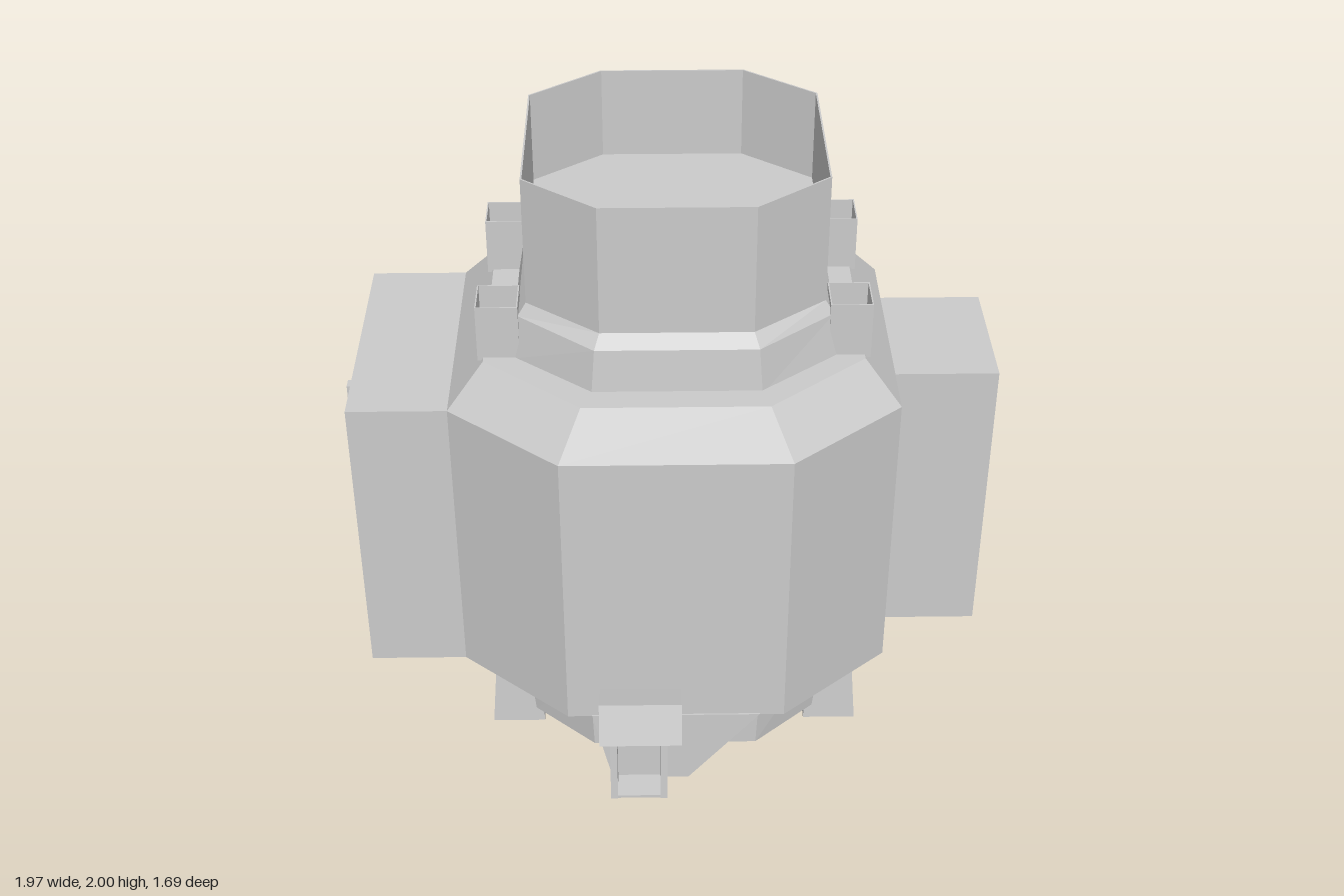
import * as THREE from 'three';

const mat = new THREE.MeshStandardMaterial({ color: 0xcccccc, flatShading: true, side: THREE.DoubleSide });

// Octagon ring: half extents a (x), b (z); corner offsets ca (x), cb (z)
function oct(y, a, b, ca, cb, cx = 0, cz = 0) {
  return [[a, -cb], [a, cb], [ca, b], [-ca, b], [-a, cb], [-a, -cb], [-ca, -b], [ca, -b]]
    .map(([x, z]) => [cx + x, y, cz + z]);
}

// Rectangle ring
function rect(y, a, b, cx = 0, cz = 0) {
  return [[a, -b], [a, b], [-a, b], [-a, -b]].map(([x, z]) => [cx + x, y, cz + z]);
}

// Skin successive rings, capping the first and last
function loft(rings) {
  const v = [];
  const n = rings[0].length;
  for (let r = 0; r + 1 < rings.length; r++) {
    const p = rings[r], q = rings[r + 1];
    for (let i = 0; i < n; i++) {
      const j = (i + 1) % n;
      v.push(...p[i], ...q[i], ...p[j], ...p[j], ...q[i], ...q[j]);
    }
  }
  const f = rings[0], l = rings[rings.length - 1];
  for (let i = 1; i + 1 < n; i++) {
    v.push(...f[0], ...f[i], ...f[i + 1]);
    v.push(...l[0], ...l[i + 1], ...l[i]);
  }
  const g = new THREE.BufferGeometry();
  g.setAttribute('position', new THREE.Float32BufferAttribute(v, 3));
  g.computeVertexNormals();
  return g;
}

// Box from its minimum and maximum corners
function block(x0, x1, y0, y1, z0, z1) {
  const g = new THREE.BoxGeometry(x1 - x0, y1 - y0, z1 - z0);
  return g.translate((x0 + x1) / 2, (y0 + y1) / 2, (z0 + z1) / 2);
}

// Side profile given as [z, y], extruded across x0..x1
function sideProfile(pts, x0, x1) {
  const shape = new THREE.Shape(pts.map(([z, y]) => new THREE.Vector2(-z, y)));
  const g = new THREE.ExtrudeGeometry(shape, { depth: x1 - x0, bevelEnabled: false });
  return g.rotateY(Math.PI / 2).translate(x0, 0, 0);
}

export function createModel() {
  const model = new THREE.Group();
  model.name = 'furnace';
  const add = (name, geometry) => {
    const m = new THREE.Mesh(geometry, mat);
    m.name = name;
    model.add(m);
    return m;
  };

  // Octagonal main body with a sloped shoulder
  add('body', loft([
    oct(0.33, 0.67, 0.68, 0.335, 0.40),
    oct(1.29, 0.67, 0.68, 0.335, 0.40),
    oct(1.43, 0.56, 0.575, 0.27, 0.33, 0, 0.02),
  ]));

  // Collar and open neck with a sunken floor
  const cx = 0.005, cz = 0.03;
  add('neck', loft([
    oct(1.42, 0.485, 0.485, 0.245, 0.29, cx, cz),
    oct(1.56, 0.46, 0.47, 0.235, 0.28, cx, cz),
    oct(1.60, 0.435, 0.44, 0.22, 0.27, cx, cz),
    oct(2.00, 0.435, 0.44, 0.22, 0.27, cx, cz),
    oct(2.00, 0.43, 0.435, 0.218, 0.268, cx, cz),
    oct(1.715, 0.43, 0.435, 0.218, 0.268, cx, cz),
  ]));
  add('neckFloorPlate', loft([
    oct(1.70, 0.225, 0.225, 0.115, 0.115, cx, cz),
    oct(1.722, 0.225, 0.225, 0.115, 0.115, cx, cz),
  ]));

  // Tapered base under the body
  add('base', loft([
    oct(0.07, 0.455, 0.53, 0.26, 0.36),
    oct(0.34, 0.48, 0.54, 0.27, 0.37),
  ]));

  // Side housings
  add('wideHousing', block(-0.97, -0.6, 0.33, 1.29, -0.40, 0.40));
  add('narrowHousing', block(0.6, 0.985, 0.33, 1.29, -0.22, 0.225));

  // Fittings on the wide housing and the body
  add('housingStrip', block(-0.983, -0.96, 0.34, 1.28, 0.215, 0.25));
  add('housingLatch', block(-0.983, -0.96, 0.68, 0.9, -0.215, -0.2));
  add('housingHandle', block(-0.985, -0.96, 0.76, 0.79, -0.28, -0.2));
  add('bodyKnob', block(0.64, 0.705, 0.435, 0.49, -0.245, -0.215));

  // Hollow flared legs and open vents, in pairs on both sides and the back
  const leg = (x, z, y0, tx, tz) => add('leg', loft([
    rect(y0 + 0.06, 0.045, 0.045, x, z),
    rect(y0, 0.05, 0.05, x, z),
    rect(y0, 0.085, 0.085, x, z),
    rect(0.345, 0.063, 0.063, tx, tz),
  ]));
  const vent = (x, z, y0) => add('vent', loft([
    rect(y0, 0.062, 0.064, x, z),
    rect(y0 + 0.18, 0.062, 0.064, x, z),
    rect(y0 + 0.18, 0.058, 0.06, x, z),
    rect(y0 + 0.02, 0.058, 0.06, x, z),
  ]));
  for (const s of [-1, 1]) {
    for (const t of [-1, 1]) {
      leg(s * 0.515, t * 0.26, 0, s * 0.51, t * 0.26);
      vent(s * 0.515, t * 0.255 + 0.01, 1.42);
    }
    leg(s * 0.255, -0.515, 0.02, s * 0.255, -0.5);
    vent(s * 0.255, -0.515, 1.44);
  }

  // Rear channel: cap, foot, two side plates and small brackets
  add('channelCap', block(-0.105, 0.1, 1.14, 1.265, -0.835, -0.66));
  add('channelFoot', block(-0.105, 0.1, 0.38, 0.43, -0.845, -0.66));
  for (const x of [-0.092, 0.087]) {
    add('channelPlate', block(x - 0.01, x + 0.01, 0.42, 1.15, -0.83, -0.66));
  }
  add('channelBracket', block(-0.05, 0.05, 0.91, 0.94, -0.715, -0.67));
  add('channelBracket', block(-0.02, 0.03, 0.72, 0.78, -0.71, -0.67));

  // Front apron with a slanted edge
  const apron = new THREE.Shape([[-0.26, 0.335], [-0.2, 0.07], [0.04, 0.07], [0.26, 0.335]]
    .map(([x, y]) => new THREE.Vector2(x, y)));
  add('apron', new THREE.ExtrudeGeometry(apron, { depth: 0.18, bevelEnabled: false }).translate(0, 0, 0.505));

  // Tilted spout hood standing on two side supports
  add('spoutHood', sideProfile([[0.62, 0.42], [0.8, 0.485], [0.845, 0.36], [0.69, 0.305], [0.62, 0.335]], -0.235, 0.015));
  for (const x of [-0.205, -0.05]) {
    add('spoutSupport', sideProfile([[0.68, 0.07], [0.778, 0.07], [0.765, 0.345], [0.68, 0.33]], x, x + 0.022));
  }
  add('spoutSill', block(-0.19, -0.035, 0.07, 0.08, 0.68, 0.775));

  return model;
}
